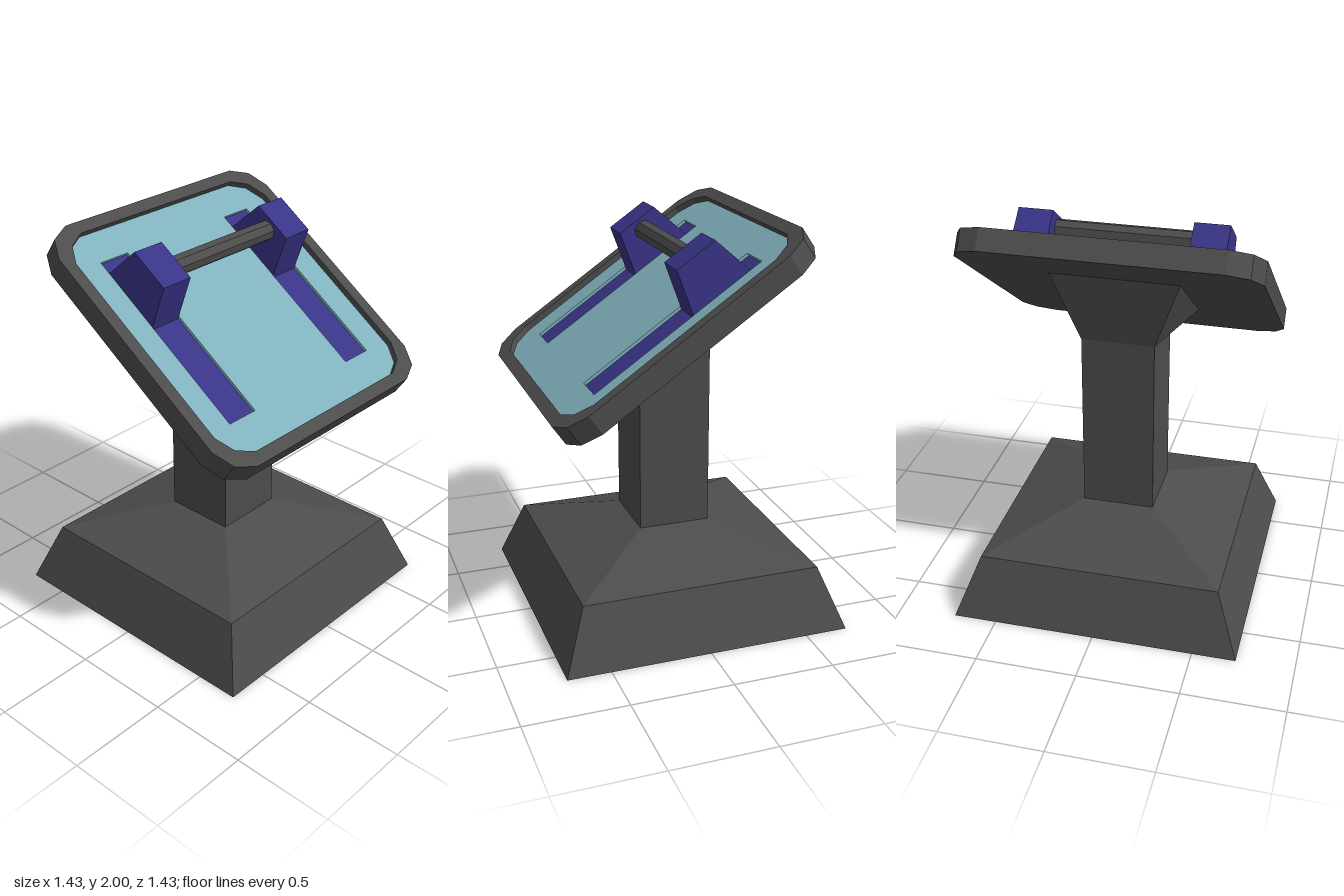
import * as THREE from 'three';

const mat = (color) => new THREE.MeshStandardMaterial({ color, flatShading: true });
const grey = mat(0x4c4c4c), teal = mat(0x7fb0bb), purple = mat(0x3a3488);

function part(name, geometry, material) {
  const mesh = new THREE.Mesh(geometry, material);
  mesh.name = name;
  return mesh;
}

// Closed four-sided loft; each ring is [half width, half depth, height function of z]
function loft(rings) {
  const corners = [[1, 1], [1, -1], [-1, -1], [-1, 1]];
  const pos = [], idx = [];
  for (const [w, d, h] of rings)
    for (const [sx, sz] of corners) pos.push(sx * w, h(sz * d), sz * d);
  for (let r = 0; r < rings.length - 1; r++)
    for (let i = 0; i < 4; i++) {
      const a = r * 4 + i, b = r * 4 + (i + 1) % 4;
      idx.push(a, b, b + 4, a, b + 4, a + 4);
    }
  const t = (rings.length - 1) * 4;
  idx.push(0, 2, 1, 0, 3, 2, t, t + 1, t + 2, t, t + 2, t + 3);
  const g = new THREE.BufferGeometry();
  g.setAttribute('position', new THREE.Float32BufferAttribute(pos, 3));
  g.setIndex(idx);
  const flat = g.toNonIndexed();
  flat.computeVertexNormals();
  return flat;
}

// Square outline with corners cut in two facets
function cutSquare(a, b, c) {
  const pts = [];
  for (let q = 0; q < 4; q++)
    for (const [x, y] of [[a, c], [b, b], [c, a]])
      pts.push(new THREE.Vector2(x, y).rotateAround(new THREE.Vector2(), q * Math.PI / 2));
  return pts;
}

// Extrude an outline lying flat, from height y0 to y1
function slab(outline, holes, y0, y1) {
  const shape = new THREE.Shape(outline);
  holes.forEach((h) => shape.holes.push(new THREE.Path(h)));
  return new THREE.ExtrudeGeometry(shape, { depth: y1 - y0, bevelEnabled: false })
    .rotateX(-Math.PI / 2).translate(0, y0, 0);
}

export function createModel() {
  const model = new THREE.Group();
  model.name = 'controlPedestal';
  const at = (y) => () => y;

  // Stepped foot and square column
  model.add(part('pedestal', loft([
    [0.715, 0.715, at(0)], [0.6, 0.6, at(0.305)], [0.18, 0.18, at(0.45)], [0.18, 0.18, at(1.36)],
  ]), grey));

  // Flared head, its upper edge following the underside of the tilted panel
  model.add(part('columnHead', loft([
    [0.18, 0.18, at(1.36)], [0.315, 0.25, (z) => 1.555 - 0.685 * z],
  ]), grey));

  // Tilted panel; local y = 0 is the top of the rim
  const panel = new THREE.Group();
  panel.name = 'panel';
  panel.position.set(0, 1.5975, 0.1225);
  panel.rotation.x = 0.6005;
  model.add(panel);

  const outer = cutSquare(0.713, 0.663, 0.56);
  const inner = cutSquare(0.65, 0.602, 0.51);
  panel.add(part('backPlate', slab(outer, [], -0.11, -0.052), grey));
  panel.add(part('rim', slab(outer, [inner], -0.052, 0), grey));

  // Screen with two slots
  const slotX = 0.42, half = 0.085, back = -0.488, front = 0.478;
  const slots = [-1, 1].map((s) => [[-1, back], [-1, front], [1, front], [1, back]]
    .map(([k, z]) => new THREE.Vector2(s * slotX + k * half, -z)));
  panel.add(part('screen', slab(inner, slots, -0.052, -0.03), teal));

  // Slot floors and the sliding blocks
  const profile = new THREE.Shape([
    [-0.086, -0.05], [-0.146, 0.19], [-0.364, 0.19], [-0.427, -0.05],
  ].map(([z, y]) => new THREE.Vector2(z, y)));
  for (const [side, s] of [['left', 1], ['right', -1]]) {
    const floor = new THREE.BoxGeometry(half * 2, 0.01, front - back)
      .translate(s * slotX, -0.055, (front + back) / 2);
    panel.add(part(side + 'SlotFloor', floor.translate(0, 0.005, 0), purple));
    const block = new THREE.ExtrudeGeometry(profile, { depth: half * 2, bevelEnabled: false })
      .rotateY(-Math.PI / 2).translate(s * slotX + half, 0, 0);
    panel.add(part(side + 'SliderBlock', block, purple));
  }

  // Handle bar joining the blocks
  const bar = new THREE.CylinderGeometry(0.05, 0.05, 0.68, 8)
    .rotateZ(Math.PI / 2).translate(0, 0.126, -0.257);
  panel.add(part('handleBar', bar, grey));

  return model;
}
